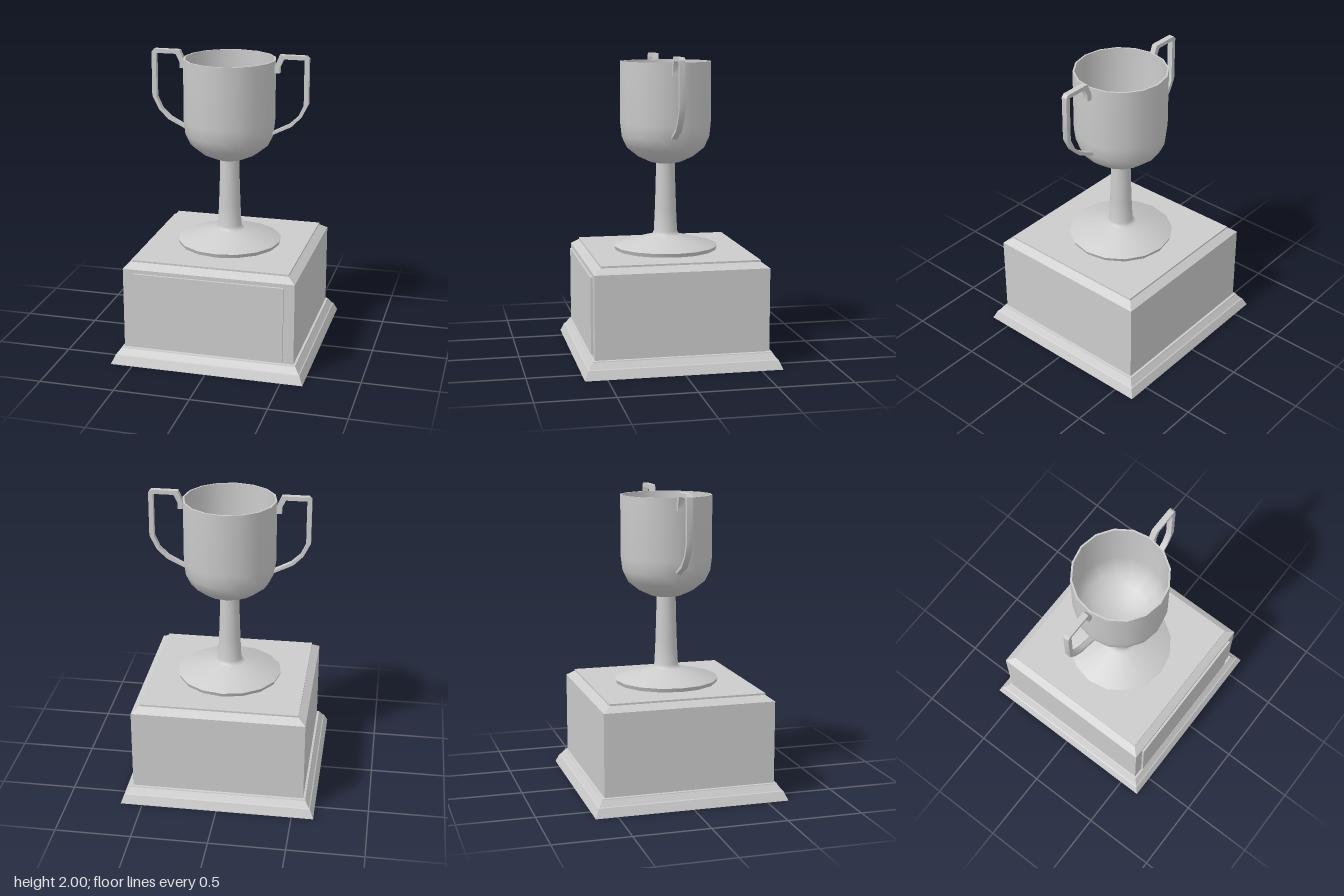
import * as THREE from 'three';
import { toCreasedNormals } from 'three/addons/utils/BufferGeometryUtils.js';

const material = new THREE.MeshStandardMaterial({ color: 0xcccccc });

function part(name, geometry) {
  const mesh = new THREE.Mesh(geometry, material);
  mesh.name = name;
  return mesh;
}

// Turned profile of [radius, y] pairs
function turned(profile, sides, crease, start = 0, scale = 1) {
  const points = profile.map(([r, y]) => new THREE.Vector2(r * scale, y));
  return toCreasedNormals(new THREE.LatheGeometry(points, sides, start), crease);
}

// Square stepped solid: a four-sided turning whose radii are half-widths
const square = (profile) => turned(profile, 4, 0.05, Math.PI / 4, Math.SQRT2);

export function createModel() {
  const model = new THREE.Group();
  model.name = 'trophy';

  // Plinth with moulded skirting and a bevelled top
  model.add(part('plinth', square([
    [0, 0], [0.645, 0], [0.643, 0.006], [0.62, 0.058], [0.613, 0.062],
    [0.587, 0.1], [0.585, 0.106], [0.57, 0.108], [0.57, 0.655],
    [0.52, 0.69], [0.52, 0.702], [0, 0.702],
  ])));

  // Plaque on the front
  const plaque = part('plaque', new THREE.BoxGeometry(1, 0.5, 0.03));
  plaque.position.set(0, 0.38, 0.57);
  model.add(plaque);

  // Foot and stem
  model.add(part('stem', turned([
    [0, 0.702], [0.34, 0.702], [0.35, 0.728], [0.345, 0.732], [0.105, 0.797],
    [0.087, 0.806], [0.08, 0.825], [0.073, 0.97], [0.067, 1.15], [0.064, 1.3],
  ], 16, 0.8)));

  // Hollow cup: outside up to the rim, then down the inside
  model.add(part('cup', turned([
    [0, 1.285], [0.065, 1.285], [0.105, 1.293], [0.185, 1.33], [0.26, 1.39],
    [0.295, 1.463], [0.305, 1.55], [0.305, 1.96],
    [0.293, 1.96], [0.293, 1.55], [0.283, 1.468], [0.25, 1.4],
    [0.18, 1.343], [0.1, 1.305], [0, 1.297],
  ], 16, 0.7)));

  // Handles: flat outline with a hooked top end, cut from thin bar
  const outline = [
    [0.303, 1.88], [0.303, 1.925], [0.335, 2], [0.51, 2], [0.527, 1.982],
    [0.527, 1.685], [0.482, 1.595], [0.418, 1.53], [0.288, 1.466],
    [0.288, 1.487], [0.4, 1.545], [0.462, 1.603], [0.497, 1.68],
    [0.497, 1.973], [0.362, 1.973], [0.336, 1.92], [0.336, 1.88],
  ];
  for (const [name, side] of [['leftHandle', 1], ['rightHandle', -1]]) {
    const shape = new THREE.Shape(outline.map(([x, y]) => new THREE.Vector2(x * side, y)));
    const bar = new THREE.ExtrudeGeometry(shape, { depth: 0.038, bevelEnabled: false });
    bar.translate(0, 0, -0.019);
    model.add(part(name, toCreasedNormals(bar, 0.6)));
  }

  return model;
}
